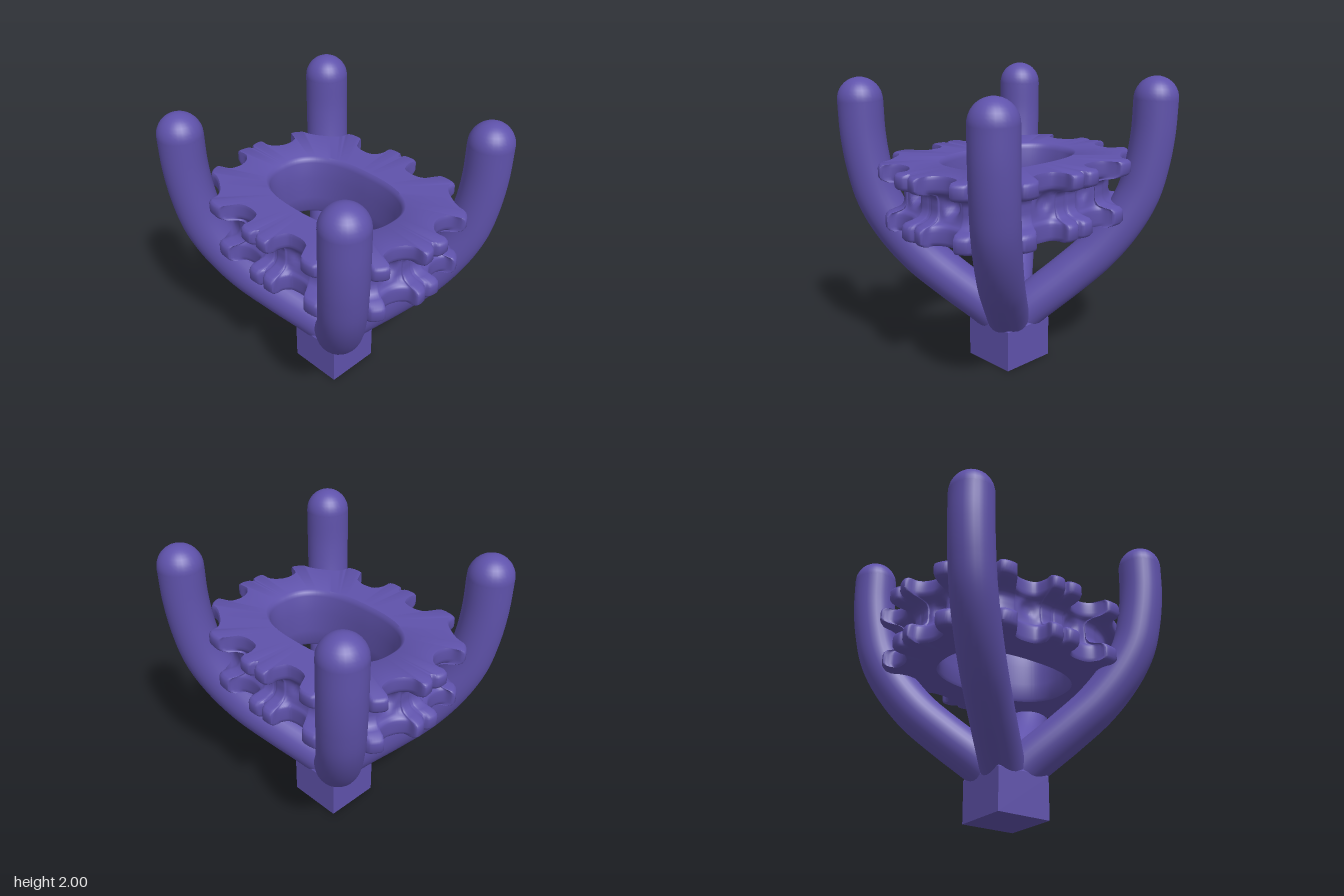
import * as THREE from 'three';
import { toCreasedNormals } from 'three/addons/utils/BufferGeometryUtils.js';

const material = new THREE.MeshStandardMaterial({ color: 0x5f52ab });

function add(parent, name, geometry, x = 0, y = 0, z = 0) {
  const mesh = new THREE.Mesh(geometry, material);
  mesh.name = name;
  mesh.position.set(x, y, z);
  parent.add(mesh);
  return mesh;
}

// One quarter of the toothed outline [x, z], from the x axis round to the z axis
const QUARTER = [
  [0.655, 0], [0.7, 0.03], [0.695, 0.115], [0.62, 0.118], [0.55, 0.145], [0.53, 0.19],
  [0.53, 0.27], [0.565, 0.335], [0.625, 0.37], [0.66, 0.385], [0.65, 0.495], [0.585, 0.505],
  [0.53, 0.545], [0.46, 0.65], [0.435, 0.715], [0.425, 0.765], [0.35, 0.81], [0.325, 0.74],
  [0.28, 0.705], [0.2, 0.7], [0.14, 0.735], [0.105, 0.79], [0.1, 0.875], [0.03, 0.87], [0, 0.835],
];

// Point of a superellipse lying at a given polar angle
function superellipse(angle, a, b, n) {
  const c = Math.cos(angle), s = Math.sin(angle);
  const r = Math.pow(Math.pow(Math.abs(c) / a, n) + Math.pow(Math.abs(s) / b, n), -1 / n);
  return [c * r, s * r];
}

// Toothed ring: [height, how far the wall reaches out to the tooth outline]
const RIM = [
  [1.47, 0.9], [1.46, 0.97], [1.445, 1], [1.39, 1], [1.37, 0.93], [1.355, 0.75], [1.345, 0.4],
  [1.33, 0.22], [1.31, 0.14], [1.29, 0.12], [1.27, 0.12], [1.25, 0.12], [1.23, 0.12], [1.2, 0.14],
  [1.17, 0.25], [1.155, 0.45], [1.145, 0.7], [1.13, 0.79], [1.11, 0.82], [1.05, 0.82], [1.03, 0.74], [1.02, 0.6],
];
const BORE = [[1.02, 1.03], [1.04, 1], [1.15, 0.98], [1.3, 0.98], [1.43, 1], [1.455, 1.02], [1.47, 1.06]];

function ringGeometry() {
  // Mirror the quarter into a closed outline
  const half = [...QUARTER, ...QUARTER.slice(0, -1).reverse().map(([x, z]) => [-x, z])];
  const full = [...half, ...half.slice(1, -1).reverse().map(([x, z]) => [x, -z])];
  const curve = new THREE.CatmullRomCurve3(
    full.map(([x, z]) => new THREE.Vector3(x, 0, z)), true, 'centripetal');
  const around = full.length * 5, rows = RIM.length + BORE.length;
  const positions = [], index = [];
  for (let i = 0; i < around; i++) {
    const p = curve.getPoint(i / around);
    const angle = Math.atan2(p.z, p.x);
    const wall = superellipse(angle, 0.5, 0.66, 3.5);
    const hole = superellipse(angle, 0.31, 0.485, 2.5);
    for (const [y, k] of RIM) {
      let x = THREE.MathUtils.lerp(wall[0], p.x, k);
      let z = THREE.MathUtils.lerp(wall[1], p.z, k);
      // Shallow dimples between the teeth
      const onEnd = Math.abs(z) > 0.6;
      const d = Math.hypot(Math.abs(onEnd ? x : z) - 0.18, y - 1.27);
      const dent = 0.06 * Math.exp(-Math.pow(d / 0.055, 4));
      if (onEnd) z -= Math.sign(z) * dent;
      else x -= Math.sign(x) * dent * 0.4;
      positions.push(x, y, z);
    }
    for (const [y, s] of BORE) positions.push(hole[0] * s, y, hole[1] * s);
  }
  for (let i = 0; i < around; i++) {
    for (let j = 0; j < rows; j++) {
      const n = (i + 1) % around, m = (j + 1) % rows;
      const a = i * rows + j, b = n * rows + j, c = n * rows + m, d = i * rows + m;
      index.push(a, b, c, a, c, d);
    }
  }
  const geometry = new THREE.BufferGeometry();
  geometry.setAttribute('position', new THREE.Float32BufferAttribute(positions, 3));
  geometry.setIndex(index);
  return toCreasedNormals(geometry, 0.8);
}

// Curved arm centre line [x, y]; z follows x
const ARM = [[0, 0.25], [0.1, 0.39], [0.27, 0.6], [0.41, 0.79], [0.52, 1], [0.59, 1.2],
  [0.625, 1.4], [0.645, 1.62], [0.65, 1.85]];
const ARM_RADIUS = 0.15;

export function createModel() {
  const model = new THREE.Group();
  model.name = 'prongHolder';

  // Square post with a tapered shoulder under the arms
  add(model, 'post', new THREE.BoxGeometry(0.4, 0.29, 0.4), 0, 0.145, 0);
  const shoulder = new THREE.CylinderGeometry(0.1, 0.2 * Math.SQRT2, 0.2, 4).rotateY(Math.PI / 4);
  add(model, 'shoulder', toCreasedNormals(shoulder, 0.3), 0, 0.39, 0);

  // Four arms with round tips
  for (const sx of [-1, 1]) {
    for (const sz of [-1, 1]) {
      const arm = new THREE.Group();
      arm.name = `${sz > 0 ? 'front' : 'back'}${sx > 0 ? 'Left' : 'Right'}Arm`;
      const path = new THREE.CatmullRomCurve3(
        ARM.map(([x, y]) => new THREE.Vector3(x * sx, y, x * sz * 1.127)));
      add(arm, 'armTube', new THREE.TubeGeometry(path, 48, ARM_RADIUS, 28, false));
      const tip = path.getPoint(1);
      add(arm, 'armTip', new THREE.SphereGeometry(ARM_RADIUS, 28, 18), tip.x, tip.y, tip.z);
      model.add(arm);
    }
  }

  add(model, 'toothedRing', ringGeometry());
  return model;
}
